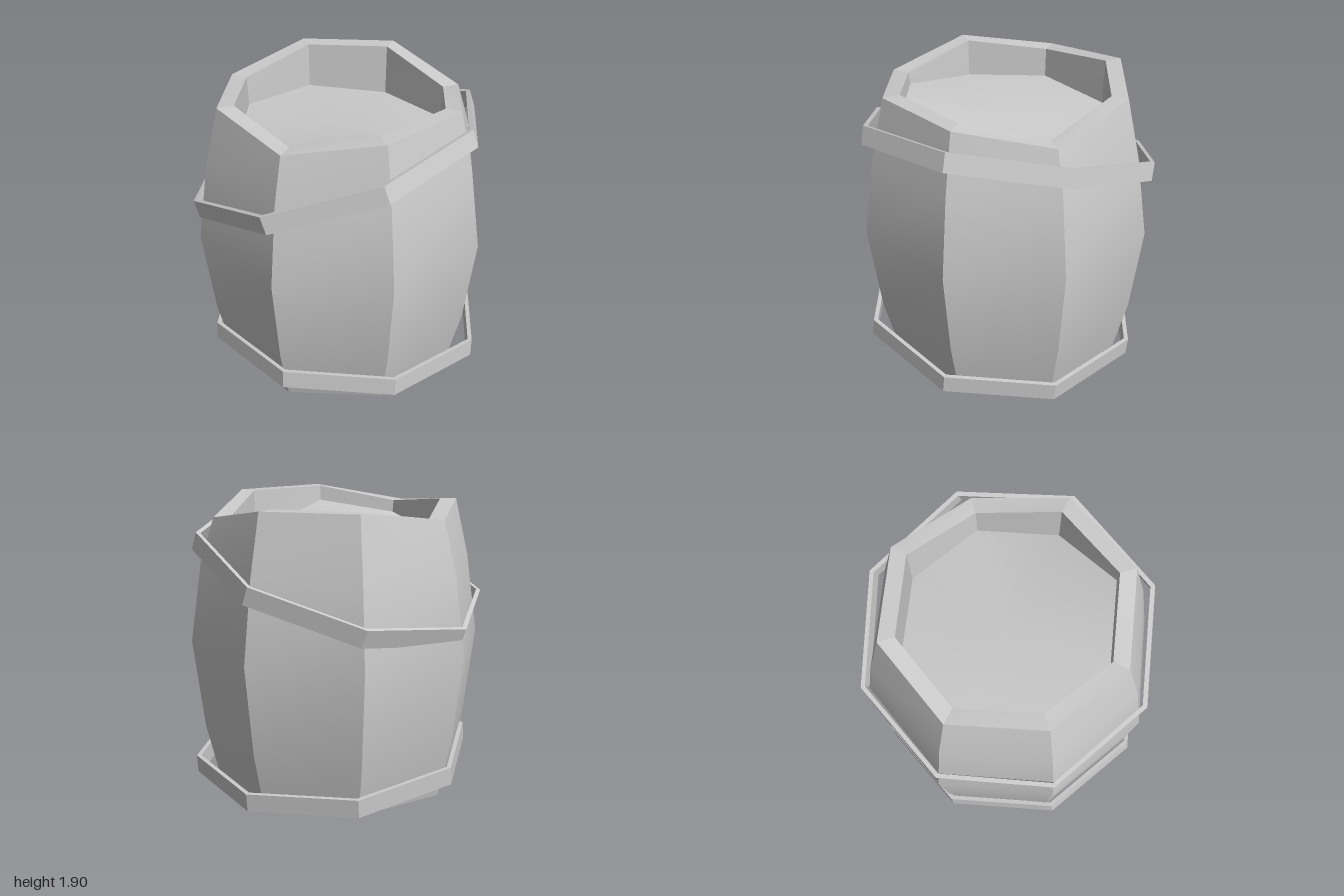
import * as THREE from 'three';
import { mergeVertices } from 'three/addons/utils/BufferGeometryUtils.js';

const SIDES = 8;
const material = new THREE.MeshStandardMaterial({ color: 0xcccccc });

// Uneven heights per corner, going round from the front (+z) towards +x
const rimY = [1.81, 1.9, 1.9, 1.79, 1.9, 1.9, 1.82, 1.88];
const lidY = [1.73, 1.8, 1.6, 1.57, 1.56, 1.6, 1.625, 1.63];

// One corner of a ring; y is a number or a list of heights per corner
function corner(k, [r, y]) {
  const i = k % SIDES;
  const a = (i / SIDES) * Math.PI * 2;
  return [r * Math.sin(a), Array.isArray(y) ? y[i] : y, r * Math.cos(a)];
}

// Skin over a run of rings: smooth along the run, creased at the corners
// (or smooth all over when smooth is set)
function loft(name, rings, smooth = false) {
  const pos = [], index = [];
  for (let k = 0; k < SIDES; k++) {
    const base = pos.length / 3;
    for (const ring of rings) pos.push(...corner(k, ring), ...corner(k + 1, ring));
    for (let j = 0; j < rings.length - 1; j++) {
      const a = base + j * 2;
      index.push(a, a + 1, a + 3, a, a + 3, a + 2);
    }
  }
  let geo = new THREE.BufferGeometry();
  geo.setAttribute('position', new THREE.Float32BufferAttribute(pos, 3));
  geo.setIndex(index);
  if (smooth) geo = mergeVertices(geo);
  geo.computeVertexNormals();
  const mesh = new THREE.Mesh(geo, material);
  mesh.name = name;
  return mesh;
}

// Loose eight-sided hoop with a rectangular section
function hoop(name, radius, height, thickness) {
  const group = new THREE.Group();
  group.name = name;
  const h = height / 2, inner = radius - thickness;
  const section = [[radius, -h], [radius, h], [inner, h], [inner, -h]];
  const faces = ['Outside', 'Top', 'Inside', 'Bottom'];
  section.forEach((p, i) => group.add(loft(name + faces[i], [p, section[(i + 1) % 4]])));
  return group;
}

export function createModel() {
  const model = new THREE.Group();
  model.name = 'barrel';

  // Barrel body
  model.add(
    loft('base', [[0, 0.07], [0.69, 0.07]]),
    loft('baseRecess', [[0.69, 0.07], [0.69, 0]]),
    loft('bottomRim', [[0.69, 0], [0.81, 0]]),
    loft('staves', [[0.81, 0], [0.9, 0.37], [0.975, 0.97], [0.9, 1.5], [0.81, rimY]]),
    loft('topRim', [[0.81, rimY], [0.7, rimY]]),
    loft('innerWall', [[0.7, rimY], [0.69, lidY]]),
    loft('lid', [[0.69, lidY], [0, 1.64]], true),
  );

  // Slipped hoops
  const upper = hoop('upperHoop', 0.99, 0.12, 0.03);
  upper.position.set(-0.03, 1.42, 0);
  upper.rotation.z = 0.333;
  const lower = hoop('lowerHoop', 0.945, 0.12, 0.03);
  lower.position.set(0.045, 0.15, 0.015);
  lower.rotation.x = -0.096;
  model.add(upper, lower);

  return model;
}
